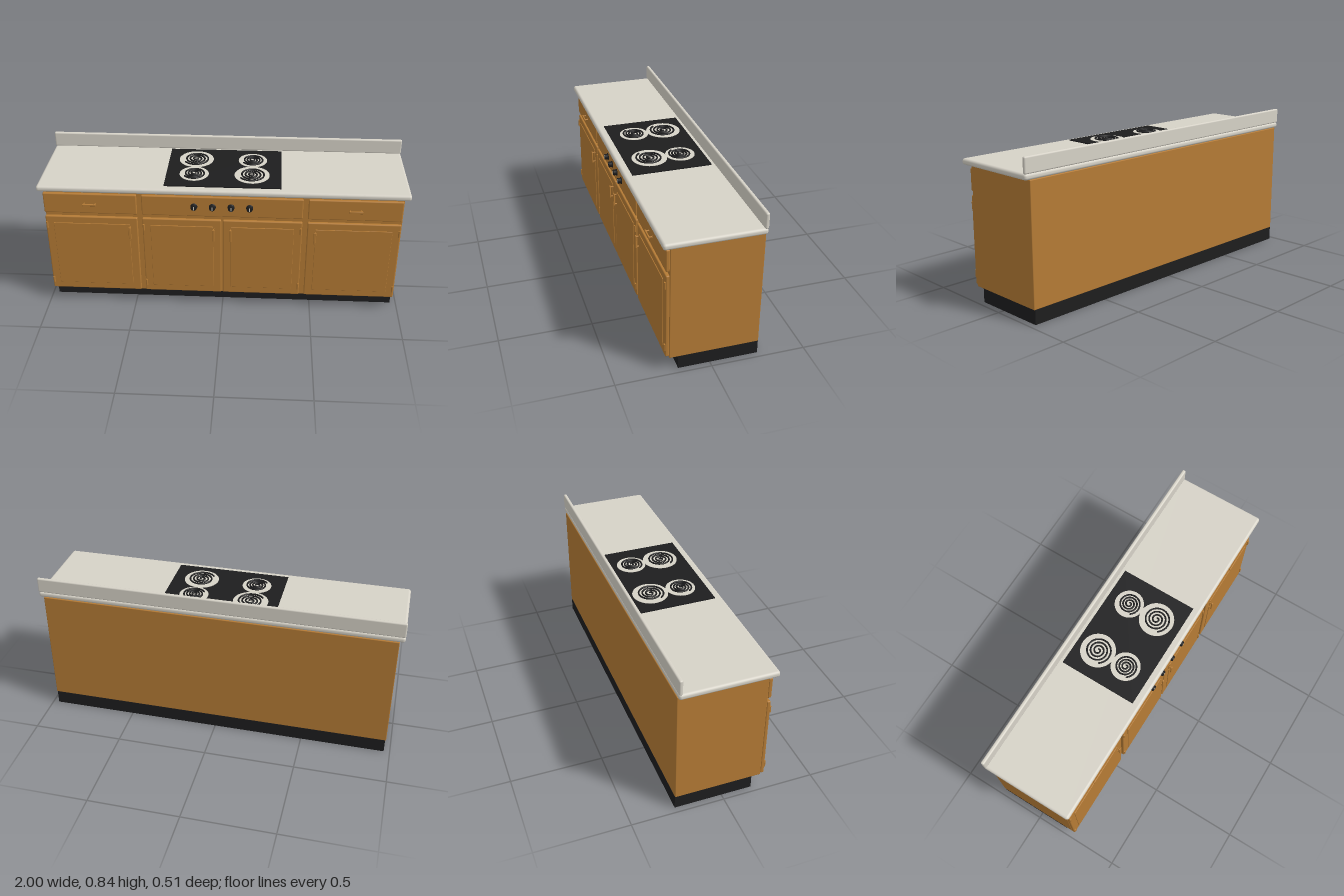
import * as THREE from 'three';
import { RoundedBoxGeometry } from 'three/addons/geometries/RoundedBoxGeometry.js';

const flat = (name, color) => {
  const m = new THREE.MeshStandardMaterial({ color });
  m.name = name;
  return m;
};

export function createModel() {
  const wood = flat('wood', 0xb57b35);
  const stone = flat('worktop', 0xd6d2c7);
  const black = flat('black', 0x1d1d1e);
  const model = new THREE.Group();

  const add = (name, geometry, material, x = 0, y = 0, z = 0, parent = model) => {
    const mesh = new THREE.Mesh(geometry, material);
    mesh.name = name;
    mesh.position.set(x, y, z);
    parent.add(mesh);
    return mesh;
  };
  // Box given by its limits on each axis, with optional rounded edges
  const block = (name, material, [x0, x1], [y0, y1], [z0, z1], r = 0, parent = model) => {
    const size = [x1 - x0, y1 - y0, z1 - z0];
    const geo = r ? new RoundedBoxGeometry(...size, 3, r) : new THREE.BoxGeometry(...size);
    return add(name, geo, material, (x0 + x1) / 2, (y0 + y1) / 2, (z0 + z1) / 2, parent);
  };

  // Carcass, plinth and worktop
  block('plinth', black, [-0.967, 0.967], [0, 0.078], [-0.257, 0.167]);
  block('cabinetBody', wood, [-0.972, 0.972], [0.077, 0.728], [-0.257, 0.215], 0.004);
  block('worktop', stone, [-1, 1], [0.727, 0.76], [-0.257, 0.257], 0.014);
  block('backsplash', stone, [-1, 1], [0.758, 0.843], [-0.257, -0.237], 0.008);

  // Bow handle: two posts and a rounded grip, upright by default
  function handle(x, y, z, horizontal) {
    const g = new THREE.Group();
    g.name = horizontal ? 'drawerHandle' : 'doorHandle';
    block('grip', wood, [-0.007, 0.007], [-0.037, 0.037], [0.016, 0.024], 0.003, g);
    for (const s of [-1, 1]) {
      const post = add('post', new THREE.CylinderGeometry(0.004, 0.004, 0.018, 10), wood, 0, s * 0.03, 0.009, g);
      post.rotation.x = Math.PI / 2;
      const foot = add('foot', new THREE.CylinderGeometry(0.006, 0.006, 0.003, 12), wood, 0, s * 0.03, 0.001, g);
      foot.rotation.x = Math.PI / 2;
    }
    if (horizontal) g.rotation.z = Math.PI / 2;
    g.position.set(x, y, z);
    model.add(g);
  }

  // Drawer fronts
  for (const [x0, x1] of [[-0.973, -0.465], [-0.438, 0.435], [0.463, 0.967]]) {
    block('drawerFront', wood, [x0, x1], [0.588, 0.708], [0.214, 0.234], 0.006);
  }
  for (const x of [-0.72, 0.715]) handle(x, 0.65, 0.233, true);

  // Doors with a raised panel, two hinges and a handle on the opening side
  const doors = [
    [-0.973, -0.465, 1], [-0.438, -0.006, 1], [0.003, 0.435, -1], [0.463, 0.967, -1],
  ];
  for (const [x0, x1, opening] of doors) {
    block('door', wood, [x0, x1], [0.086, 0.565], [0.214, 0.234], 0.006);
    block('doorPanel', wood, [x0 + 0.044, x1 - 0.044], [0.127, 0.525], [0.232, 0.238], 0.002);
    const hx = opening > 0 ? x0 + 0.007 : x1 - 0.007;
    for (const y of [0.143, 0.51]) {
      add('hinge', new THREE.CylinderGeometry(0.006, 0.006, 0.038, 12), wood, hx, y, 0.235);
    }
    handle(opening > 0 ? x1 - 0.042 : x0 + 0.042, 0.479, 0.233, false);
  }

  // Control knobs with a pale pointer
  const knobProfile = [[0, 0], [0.019, 0], [0.019, 0.004], [0.015, 0.007], [0.016, 0.02], [0.013, 0.023], [0, 0.023]]
    .map(([r, h]) => new THREE.Vector2(r, h));
  for (const x of [-0.153, -0.053, 0.048, 0.148]) {
    const knob = add('controlKnob', new THREE.LatheGeometry(knobProfile, 24), black, x, 0.65, 0.233);
    knob.rotation.x = Math.PI / 2;
    block('knobPointer', stone, [x - 0.002, x + 0.002], [0.639, 0.661], [0.254, 0.257]);
  }

  // Hob plate
  block('hobPlate', black, [-0.315, 0.315], [0.759, 0.766], [-0.22, 0.215]);

  // Burners: pale drip pan under a black spiral coil
  function burner(x, z, panRadius) {
    const coilRadius = panRadius * 0.76;
    const pan = new THREE.CylinderGeometry(panRadius, panRadius, 0.003, 48);
    add('dripPan', pan, stone, x, 0.7665, z);
    const turns = 3.4;
    const points = [];
    for (let i = 0; i <= 90; i++) {
      const t = i / 90;
      const a = t * turns * Math.PI * 2;
      const r = 0.008 + (coilRadius - 0.008) * t;
      points.push(new THREE.Vector3(Math.cos(a) * r, 0, Math.sin(a) * r));
    }
    const path = new THREE.CatmullRomCurve3(points);
    add('burnerCoil', new THREE.TubeGeometry(path, 180, 0.0048, 8), black, x, 0.7708, z);
    for (const p of [points[0], points[90]]) {
      add('coilEnd', new THREE.SphereGeometry(0.0048, 10, 8), black, x + p.x, 0.7708, z + p.z);
    }
  }
  burner(-0.162, -0.095, 0.096);
  burner(-0.162, 0.078, 0.08);
  burner(0.155, -0.095, 0.08);
  burner(0.155, 0.078, 0.096);

  return model;
}
